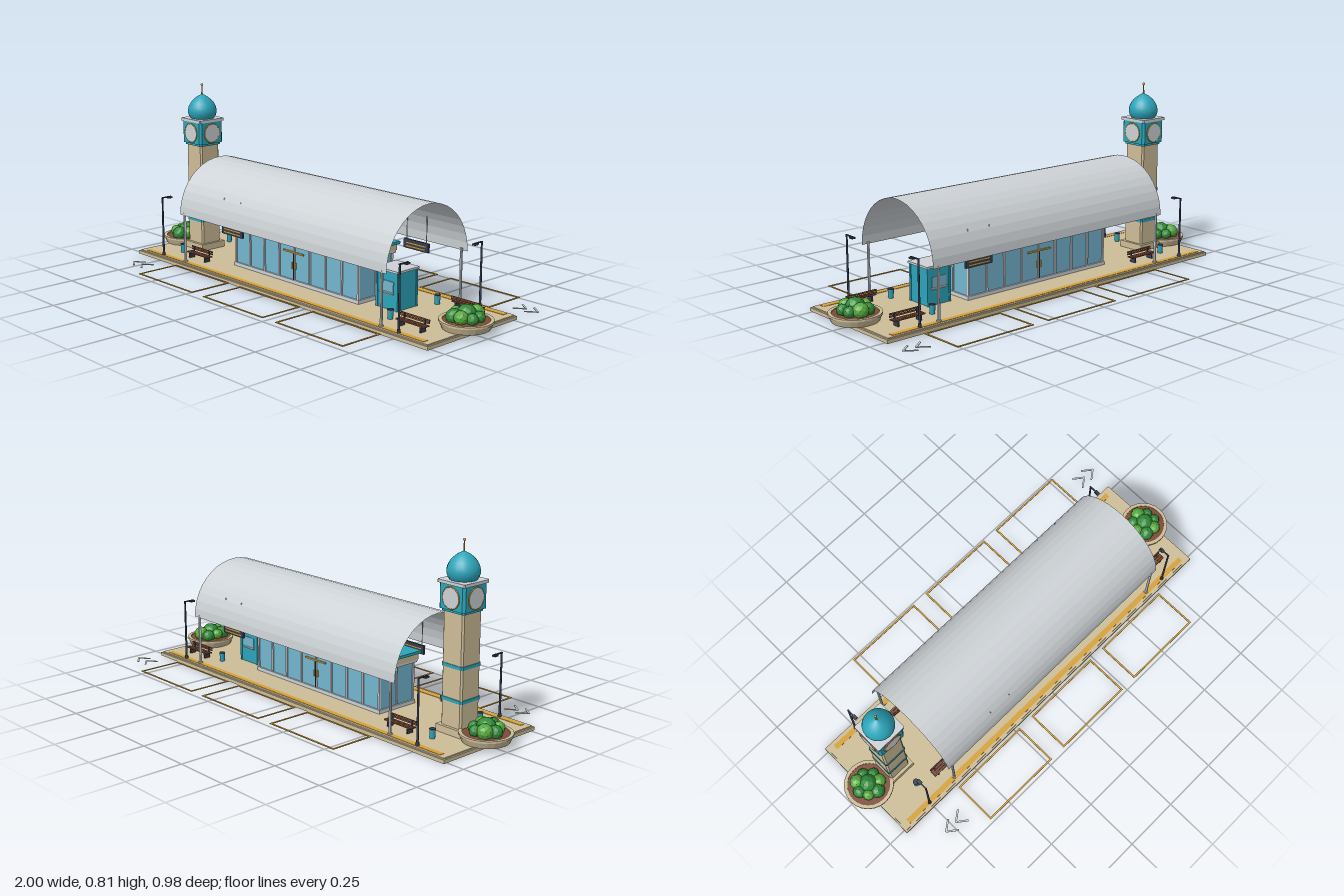
import * as THREE from 'three';

const mat = (name, color, extra = {}) => {
  const m = new THREE.MeshStandardMaterial({ color, ...extra });
  m.name = name;
  return m;
};
const M = {
  stone: mat('sandstone', 0xcdbd98),
  teal: mat('teal', 0x2ba5ba),
  glass: mat('glass blue', 0x74b6d0),
  metal: mat('light metal', 0xcdd2d6, { flatShading: true, side: THREE.DoubleSide }),
  navy: mat('dark navy', 0x363d50),
  gold: mat('gold', 0xd6a136),
  wood: mat('brown', 0x7d4b34),
  green: mat('leaf green', 0x2f8a38, { flatShading: true }),
  lime: mat('light leaf green', 0x55a83c, { flatShading: true }),
};

function add(parent, name, geo, material, x = 0, y = 0, z = 0) {
  const mesh = new THREE.Mesh(geo, material);
  mesh.name = name;
  mesh.position.set(x, y, z);
  parent.add(mesh);
  return mesh;
}
// Box given by its centre in x and z, and its bottom and top
const box = (p, name, m, x, z, w, d, y0, y1) =>
  add(p, name, new THREE.BoxGeometry(w, y1 - y0, d), m, x, (y0 + y1) / 2, z);
const rod = (p, name, m, x, z, r0, r1, y0, y1, n = 10) =>
  add(p, name, new THREE.CylinderGeometry(r1, r0, y1 - y0, n), m, x, (y0 + y1) / 2, z);
function group(parent, name, x = 0, y = 0, z = 0) {
  const g = new THREE.Group();
  g.name = name;
  g.position.set(x, y, z);
  parent.add(g);
  return g;
}
// Square prism with cut corners
function prism(p, name, m, h, c, y0, y1) {
  const k = h - c;
  const s = new THREE.Shape([[h, -k], [h, k], [k, h], [-k, h], [-h, k], [-h, -k], [-k, -h], [k, -h]]
    .map(([a, b]) => new THREE.Vector2(a, b)));
  const geo = new THREE.ExtrudeGeometry(s, { depth: y1 - y0, bevelEnabled: false });
  geo.rotateX(-Math.PI / 2);
  return add(p, name, geo, m, 0, y0, 0);
}

function buildPlatform(root) {
  const g = group(root, 'platform');
  box(g, 'slab', M.stone, 0.007, 0, 1.845, 0.535, 0, 0.015);
  box(g, 'paving', M.stone, 0.007, 0, 1.83, 0.52, 0.015, 0.02);
  for (const s of [-1, 1]) box(g, 'edgeStripe', M.gold, 0.007, s * 0.237, 1.77, 0.024, 0.02, 0.0215);
}

function buildMarkings(root) {
  const g = group(root, 'groundMarkings');
  const bay = (x, z) => {
    const w = 0.386, d = 0.205, t = 0.008;
    for (const s of [-1, 1]) {
      box(g, 'bayLine', M.gold, x, z + s * (d - t) / 2, w, t, 0.007, 0.01);
      box(g, 'bayLine', M.gold, x + s * (w - t) / 2, z, t, d - 2 * t, 0.007, 0.01);
    }
  };
  for (let i = 0; i < 3; i++) {
    bay(-0.348 + i * 0.462, -0.388);
    bay(-0.42 + i * 0.462, 0.383);
  }
  // Double chevrons pointing along each lane
  for (const s of [-1, 1]) for (const k of [0, 1]) for (const b of [-1, 1]) {
    const bar = box(g, 'chevron', M.metal, s * (s > 0 ? 0.862 + k * 0.06 : 0.708 + k * 0.06), -s * 0.385 + b * 0.0165, 0.058, 0.008, 0.007, 0.01);
    bar.rotation.y = s * b * 0.65;
  }
}

function buildVault(root) {
  const g = group(root, 'canopy', 0.032);
  const shell = new THREE.CylinderGeometry(0.24, 0.24, 1.305, 20, 1, true, 0, Math.PI);
  shell.rotateZ(Math.PI / 2);
  add(g, 'vaultedRoof', shell, M.metal, 0, 0.24, 0);
  for (const x of [-0.626, 0.624]) for (const z of [-0.235, 0.235]) {
    rod(g, 'canopyColumn', M.metal, x, z, 0.006, 0.006, 0.02, 0.25);
    rod(g, 'columnFoot', M.metal, x, z, 0.01, 0.01, 0.02, 0.027);
  }
  // Hanging signs
  for (const [x, z] of [[-0.312, 0.21], [0.398, -0.21]]) {
    box(g, 'hangingSign', M.navy, x, z, 0.14, 0.01, 0.2, 0.24);
    for (const s of [-1, 1]) {
      rod(g, 'signRod', M.metal, x + s * 0.056, z, 0.002, 0.002, 0.24, 0.36, 6);
      for (const y of [0.208, 0.222]) box(g, 'signStripe', M.gold, x, z + s * 0.0055, 0.11, 0.002, y, y + 0.005);
    }
  }
}

function buildHall(root) {
  const g = group(root, 'waitingHall');
  box(g, 'hallPlinth', M.metal, 0, 0, 0.8, 0.21, 0.02, 0.036);
  box(g, 'glassWalls', M.glass, 0, 0, 0.786, 0.194, 0.036, 0.205);
  for (const s of [-1, 1]) {
    for (let i = 0; i <= 8; i++) box(g, 'mullion', M.metal, -0.392 + i * 0.098, s * 0.098, 0.009, 0.01, 0.036, 0.205);
    box(g, 'endMullion', M.metal, s * 0.394, 0, 0.008, 0.008, 0.036, 0.205);
    // Doors with gold trim
    box(g, 'doorGap', M.navy, 0, s * 0.1035, 0.004, 0.004, 0.036, 0.155);
    box(g, 'doorHeader', M.gold, 0, s * 0.104, 0.13, 0.006, 0.157, 0.164);
    for (const x of [-0.01, 0.01]) box(g, 'doorHandle', M.gold, x, s * 0.1, 0.003, 0.01, 0.085, 0.115);
    // Decorated fascia
    box(g, 'fasciaBand', M.teal, 0, s * 0.118, 0.8, 0.006, 0.212, 0.236);
    for (let i = 0; i < 11; i++) {
      const d = box(g, 'fasciaDiamond', M.gold, -0.365 + i * 0.073, s * 0.122, 0.012, 0.003, 0.218, 0.23);
      d.rotation.z = Math.PI / 4;
    }
  }
  box(g, 'ceilingTrim', M.metal, 0, 0, 0.81, 0.22, 0.203, 0.213);
  box(g, 'fascia', M.stone, 0, 0, 0.81, 0.232, 0.213, 0.238);
  box(g, 'roofSlab', M.teal, 0, 0, 0.82, 0.26, 0.238, 0.25);
}

function buildKiosk(root) {
  const g = group(root, 'kiosk', 0.516);
  box(g, 'kioskBody', M.teal, 0, 0, 0.116, 0.116, 0.02, 0.18);
  for (const x of [-1, 1]) for (const z of [-1, 1]) box(g, 'kioskCorner', M.teal, x * 0.056, z * 0.056, 0.01, 0.01, 0.02, 0.18);
  box(g, 'kioskRoof', M.metal, 0, 0, 0.13, 0.13, 0.18, 0.189);
  for (const s of [-1, 1]) {
    box(g, 'kioskWindow', M.glass, 0, s * 0.059, 0.075, 0.004, 0.095, 0.14);
    box(g, 'kioskShelf', M.metal, 0, s * 0.062, 0.08, 0.012, 0.088, 0.093);
  }
}

function buildTower(root) {
  const g = group(root, 'clockTower', -0.75);
  box(g, 'towerPlinth', M.stone, 0, 0, 0.135, 0.135, 0.02, 0.05);
  prism(g, 'shaft', M.stone, 0.054, 0.007, 0.05, 0.525);
  for (const y of [0.155, 0.295]) prism(g, 'shaftBand', M.teal, 0.057, 0.007, y, y + 0.014);
  prism(g, 'headCollar', M.teal, 0.06, 0.008, 0.52, 0.534);
  prism(g, 'clockHead', M.teal, 0.068, 0.01, 0.53, 0.632);
  prism(g, 'cornice', M.metal, 0.072, 0.004, 0.632, 0.645);
  for (let i = 0; i < 4; i++) {
    const side = group(g, 'clockFace', 0, 0.58, 0);
    side.rotation.y = i * Math.PI / 2;
    const dial = new THREE.CylinderGeometry(0.042, 0.042, 0.006, 24).rotateX(Math.PI / 2);
    add(side, 'dial', dial, M.metal, 0, 0, 0.069);
    add(side, 'dialRing', new THREE.TorusGeometry(0.043, 0.003, 6, 24), M.gold, 0, 0, 0.07);
  }
  // Onion dome and finial
  const profile = [[0.055, 0.645], [0.062, 0.655], [0.0665, 0.67], [0.067, 0.684], [0.063, 0.7],
    [0.054, 0.717], [0.041, 0.732], [0.026, 0.744], [0.01, 0.753], [0, 0.758]];
  add(g, 'onionDome', new THREE.LatheGeometry(profile.map(([x, y]) => new THREE.Vector2(x, y)), 20), M.teal);
  rod(g, 'finial', M.gold, 0, 0, 0.004, 0.002, 0.75, 0.8, 8);
  add(g, 'finialBall', new THREE.SphereGeometry(0.006, 10, 8), M.gold, 0, 0.801, 0);
}

function buildPlanter(root, s) {
  const g = group(root, 'planter', s * 0.89);
  const pts = [[0, 0.02], [0.097, 0.02], [0.108, 0.046], [0.11, 0.046], [0.11, 0.055], [0.095, 0.055], [0.095, 0.046]];
  add(g, 'planterBowl', new THREE.LatheGeometry(pts.map(([x, y]) => new THREE.Vector2(x, y)), 24).toNonIndexed(), M.stone)
    .geometry.computeVertexNormals();
  rod(g, 'soil', M.wood, 0, 0, 0.096, 0.096, 0.04, 0.051, 24);
  add(g, 'shrub', new THREE.IcosahedronGeometry(0.042, 1), M.green, 0, 0.074, 0);
  for (let i = 0; i < 7; i++) {
    const a = i * Math.PI * 2 / 7 + s * 0.4, r = 0.026 + (i % 3) * 0.004;
    const b = add(g, 'shrub', new THREE.IcosahedronGeometry(r, 1), i % 2 ? M.lime : M.green, Math.cos(a) * 0.05, 0.066 + (i % 2) * 0.006, Math.sin(a) * 0.05);
    b.rotation.set(a, i, 0);
  }
}

function buildFurniture(root) {
  for (const s of [-1, 1]) {
    for (const x of [-0.752, 0.757]) {
      const lamp = group(root, 'lampPost', x, 0, s * 0.242);
      rod(lamp, 'lampFoot', M.navy, 0, 0, 0.008, 0.007, 0.02, 0.035);
      rod(lamp, 'lampPole', M.navy, 0, 0, 0.005, 0.004, 0.02, 0.297);
      box(lamp, 'lampArm', M.navy, 0, -s * 0.022, 0.006, 0.052, 0.293, 0.298);
      box(lamp, 'lampHead', M.navy, 0, -s * 0.04, 0.016, 0.022, 0.288, 0.295);
    }
    for (const x of [-0.735, 0.615]) {
      const bin = group(root, 'litterBin', x, 0, s * 0.14);
      rod(bin, 'binBody', M.teal, 0, 0, 0.011, 0.013, 0.02, 0.057, 12);
      rod(bin, 'binLid', M.navy, 0, 0, 0.0135, 0.0135, 0.057, 0.061, 12);
    }
    // Benches facing outwards
    for (const x of [-0.58, 0.757]) {
      const bench = group(root, 'bench', x, 0, s * 0.166);
      for (const k of [-1, 0, 1]) box(bench, 'seatSlat', M.wood, 0, k * 0.011, 0.152, 0.009, 0.043, 0.048);
      for (const y of [0.053, 0.063]) box(bench, 'backSlat', M.wood, 0, -s * 0.017, 0.152, 0.004, y, y + 0.007);
      for (const k of [-1, 1]) {
        box(bench, 'benchLeg', M.navy, k * 0.055, 0, 0.007, 0.03, 0.02, 0.043);
        box(bench, 'backSupport', M.navy, k * 0.055, -s * 0.0135, 0.007, 0.004, 0.043, 0.069);
      }
    }
  }
}

export function createModel() {
  const root = new THREE.Group();
  root.name = 'station';
  buildPlatform(root);
  buildMarkings(root);
  buildVault(root);
  buildHall(root);
  buildKiosk(root);
  buildTower(root);
  buildPlanter(root, -1);
  buildPlanter(root, 1);
  buildFurniture(root);
  return root;
}
